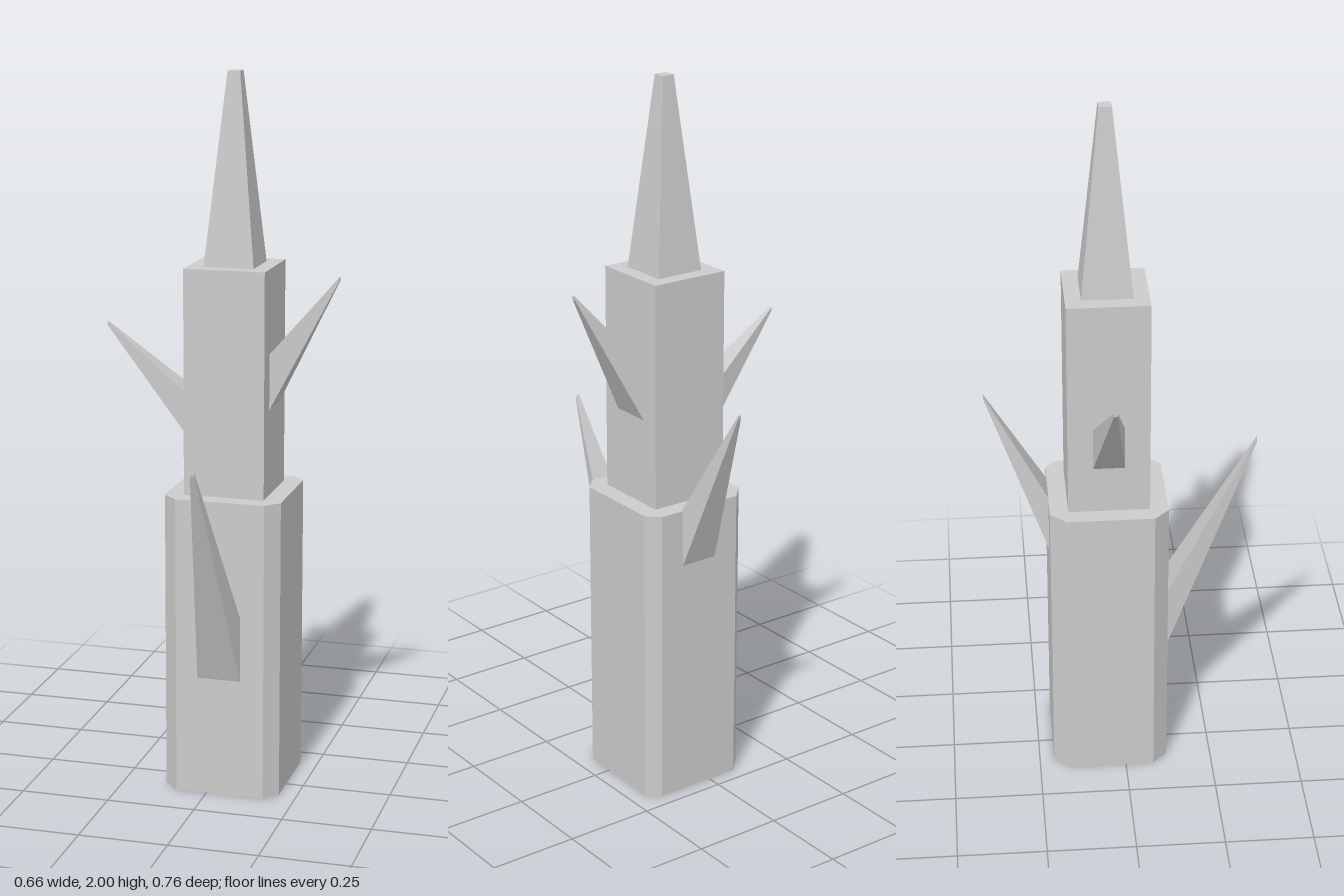
import * as THREE from 'three';

const material = new THREE.MeshStandardMaterial({ color: 0xcccccc, flatShading: true });
const AXIS = { x: 0.035, z: -0.043 };

function part(name, geometry, parent) {
  const mesh = new THREE.Mesh(geometry, material);
  mesh.name = name;
  parent.add(mesh);
  return mesh;
}

// Rectangle corners, counter-clockwise as seen from +z
const rect = (w, y0, y1, z) => [[-w, y0, z], [w, y0, z], [w, y1, z], [-w, y1, z]];

// Four-sided spike growing along +z from a wall to a small blunt tip
function spikeGeometry({ half, y0, y1, wall, tipHalf, tipY0, tipY1, reach }) {
  const a = rect(half, y0, y1, wall);
  const b = rect(tipHalf, tipY0, tipY1, reach);
  const points = [];
  const quad = (p, q, r, s) => points.push(...p, ...q, ...r, ...p, ...r, ...s);
  for (let i = 0; i < 4; i++) {
    const j = (i + 1) % 4;
    quad(a[i], a[j], b[j], b[i]);
  }
  quad(...b);
  quad(a[3], a[2], a[1], a[0]);
  const geometry = new THREE.BufferGeometry();
  geometry.setAttribute('position', new THREE.Float32BufferAttribute(points, 3));
  geometry.computeVertexNormals();
  return geometry;
}

export function createModel() {
  const model = new THREE.Group();
  model.name = 'spikedTower';

  // Lower block with uneven chamfered corners, outlined as x and z
  const outline = [
    [-0.088, 0.122], [0.163, 0.122], [0.2, 0.083], [0.2, -0.175],
    [0.166, -0.208], [-0.087, -0.208], [-0.13, -0.163], [-0.13, 0.08],
  ];
  const shape = new THREE.Shape(outline.map(([x, z]) => new THREE.Vector2(x, -z)));
  const base = new THREE.ExtrudeGeometry(shape, { depth: 0.847, bevelEnabled: false });
  part('lowerBlock', base.rotateX(-Math.PI / 2), model);

  // Upper block
  part('upperBlock', new THREE.BoxGeometry(0.227, 0.63, 0.227), model)
    .position.set(AXIS.x, 1.162, AXIS.z);

  // Tapered square spire
  const spire = new THREE.CylinderGeometry(0.0175 * Math.SQRT2, 0.07 * Math.SQRT2, 0.523, 4);
  part('spire', spire.rotateY(Math.PI / 4), model).position.set(AXIS.x + 0.001, 1.7385, AXIS.z);

  // Side spikes, each turned to face its wall
  const spikes = [
    { name: 'frontSpike', turn: 0, half: 0.061, y0: 0.338, y1: 0.523, wall: 0.165,
      tipHalf: 0.006, tipY0: 0.985, tipY1: 0.996, reach: 0.421 },
    { name: 'leftSpike', turn: 1, half: 0.058, y0: 1.088, y1: 1.243, wall: 0.1135,
      tipHalf: 0.006, tipY0: 1.443, tipY1: 1.454, reach: 0.293 },
    { name: 'backSpike', turn: 2, half: 0.054, y0: 0.686, y1: 0.855, wall: 0.165, shift: 0.006,
      tipHalf: 0.005, tipY0: 1.15, tipY1: 1.16, reach: 0.336 },
    { name: 'rightSpike', turn: 3, half: 0.044, y0: 0.983, y1: 1.105, wall: 0.1135,
      tipHalf: 0.005, tipY0: 1.29, tipY1: 1.3, reach: 0.365 },
  ];
  for (const s of spikes) {
    const spike = part(s.name, spikeGeometry(s), model);
    spike.position.set(AXIS.x + (s.shift ?? 0), 0, AXIS.z);
    spike.rotation.y = s.turn * Math.PI / 2;
  }
  return model;
}
